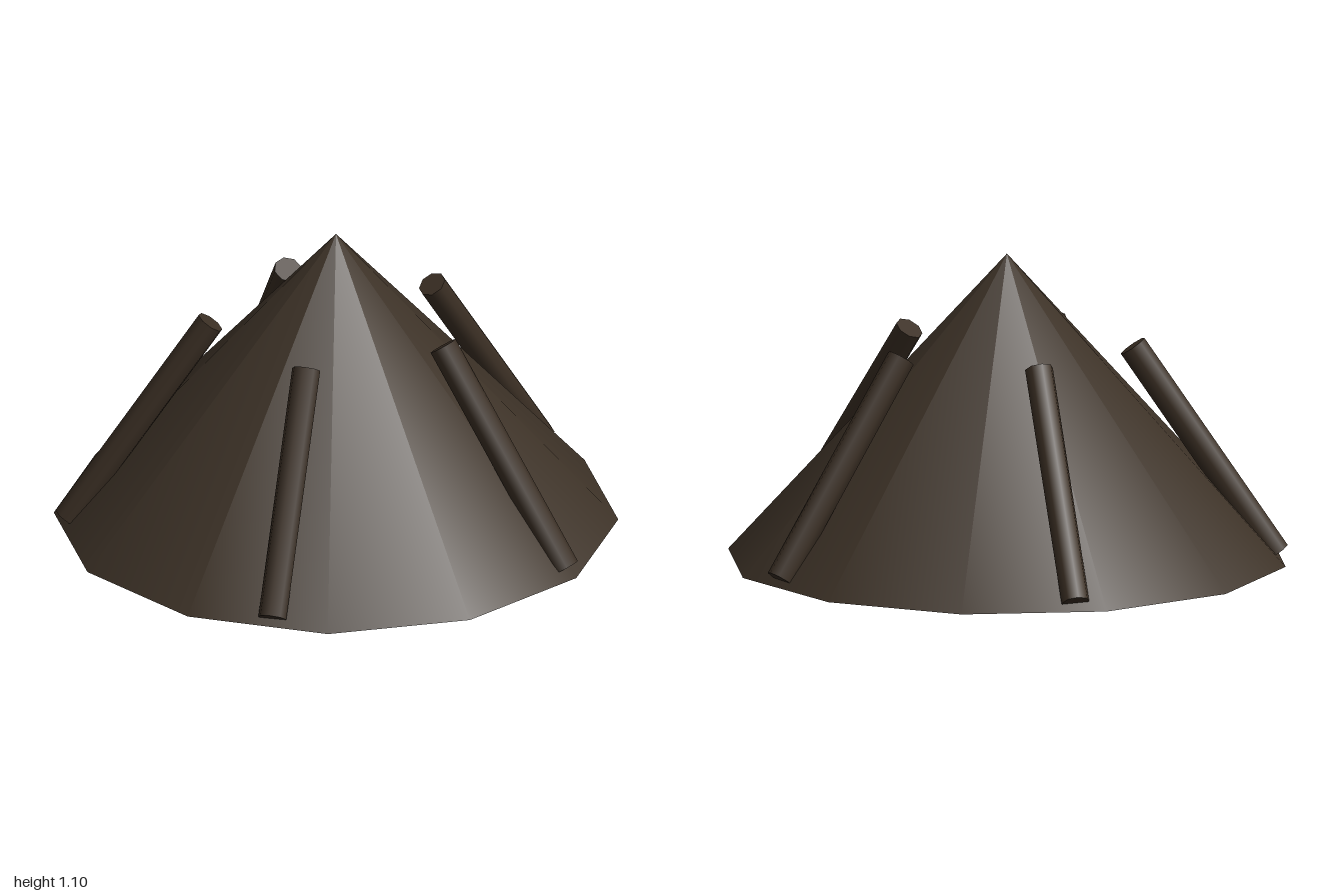
import * as THREE from 'three';

export function createModel() {
  const model = new THREE.Group();
  model.name = 'tent';

  const hide = new THREE.MeshStandardMaterial({ color: 0x3d3227 });
  hide.name = 'dark hide brown';
  const wood = new THREE.MeshStandardMaterial({ color: 0x3b2f24 });
  wood.name = 'dark wood brown';

  // twelve-sided tent cover with a closed base
  const height = 1.1;
  const cover = new THREE.Mesh(new THREE.ConeGeometry(1, height, 12), hide);
  cover.name = 'cover';
  cover.position.y = height / 2;
  model.add(cover);

  // five poles leaning inwards against the cover
  const poleGeometry = new THREE.CylinderGeometry(0.051, 0.051, 0.9, 8);
  const poleCount = 5;
  for (let i = 0; i < poleCount; i++) {
    const arm = new THREE.Group();
    arm.name = `poleArm${i + 1}`;
    arm.rotation.y = (i / poleCount) * Math.PI * 2;
    const pole = new THREE.Mesh(poleGeometry, wood);
    pole.name = `pole${i + 1}`;
    pole.position.set(0.7, 0.4, 0);
    pole.rotation.z = 0.6;
    arm.add(pole);
    model.add(arm);
  }

  return model;
}
